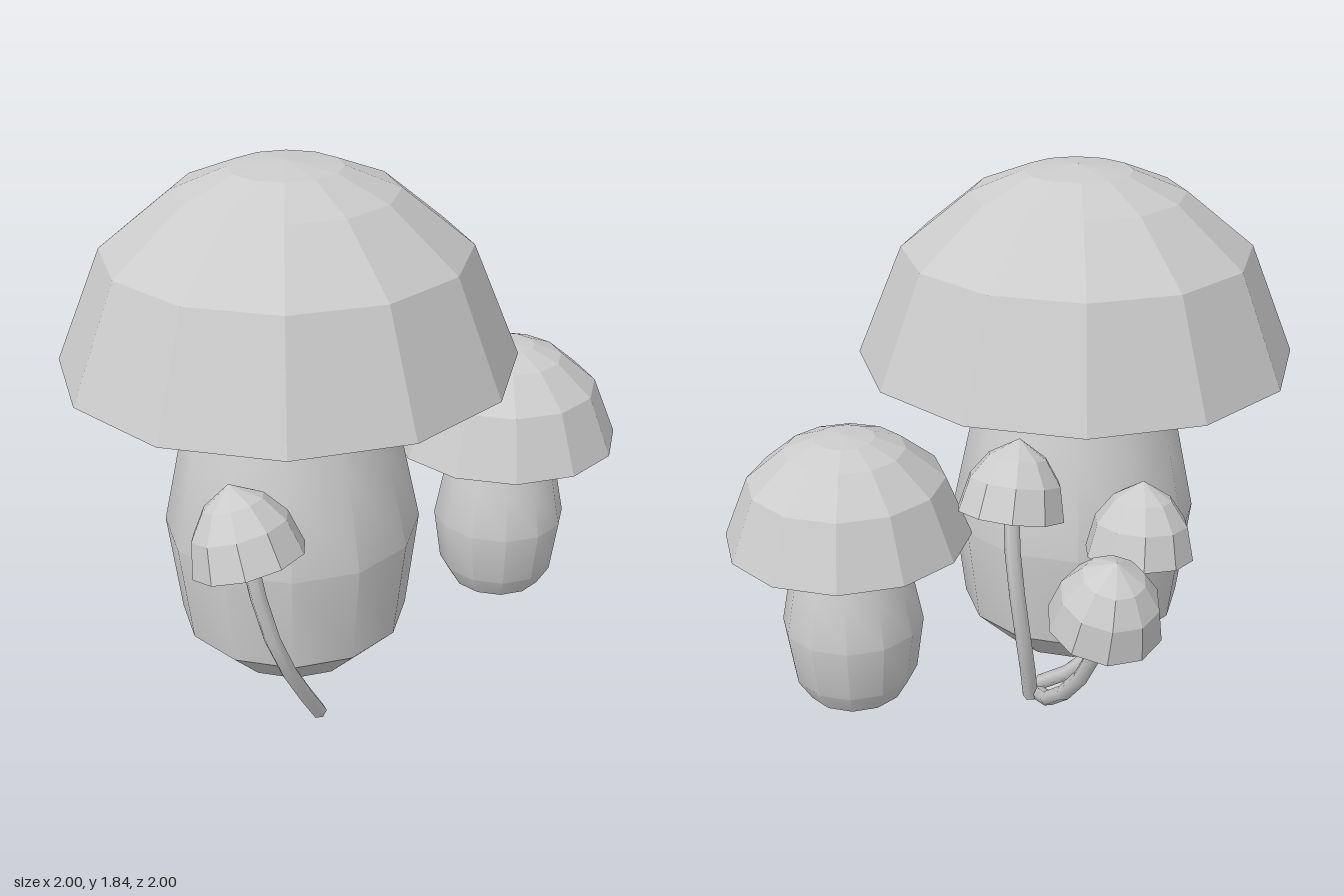
import * as THREE from 'three';
import { toCreasedNormals } from 'three/addons/utils/BufferGeometryUtils.js';

const smooth = new THREE.MeshStandardMaterial({ color: 0xcccccc });
const flat = new THREE.MeshStandardMaterial({ color: 0xcccccc, flatShading: true });

function lathe(profile, sides) {
  return new THREE.LatheGeometry(profile.map(([r, y]) => new THREE.Vector2(r, y)), sides);
}

function add(parent, name, geometry, material) {
  const mesh = new THREE.Mesh(geometry, material);
  mesh.name = name;
  parent.add(mesh);
  return mesh;
}

// Stout mushroom: barrel stem with bevelled foot, faceted dome cap
function stoutMushroom(name, x, z, stem, cap) {
  const group = new THREE.Group();
  group.name = name;
  add(group, 'stem', toCreasedNormals(lathe(stem, 12), 0.58), smooth);
  add(group, 'cap', lathe(cap, 12), flat);
  group.position.set(x, 0, z);
  return group;
}

// Hollow pointed cap: inner shell, rim, then outer dome
const slimCapProfile = [
  [0, 0.21], [0.085, 0.165], [0.14, 0.1], [0.168, 0.004],
  [0.185, 0], [0.158, 0.115], [0.1, 0.195], [0, 0.255],
];

// Slender mushroom: bent stem from the ground, cap tilted towards its tip
function slimMushroom(name, path, tip) {
  const group = new THREE.Group();
  group.name = name;
  const points = path.map((p) => new THREE.Vector3(...p));
  const base = points[points.length - 1].clone();
  const axis = new THREE.Vector3(...tip).sub(base).normalize();
  points.push(base.clone().addScaledVector(axis, 0.19));
  const curve = new THREE.CatmullRomCurve3(points);
  add(group, 'stem', new THREE.TubeGeometry(curve, 6, 0.027, 6), smooth);

  const foot = add(group, 'stemFoot', new THREE.CircleGeometry(0.027, 6), smooth);
  foot.position.copy(points[0]);
  foot.quaternion.setFromUnitVectors(new THREE.Vector3(0, 0, 1), curve.getTangent(0).negate());

  const cap = add(group, 'cap', lathe(slimCapProfile, 10), flat);
  cap.position.copy(base);
  cap.quaternion.setFromUnitVectors(new THREE.Vector3(0, 1, 0), axis);
  return group;
}

export function createModel() {
  const model = new THREE.Group();
  model.name = 'mushroomCluster';

  model.add(stoutMushroom('largeMushroom', -0.225, 0.165,
    [[0, 0.02], [0.26, 0.02], [0.405, 0.165], [0.45, 0.53], [0.38, 0.86], [0.29, 1.1]],
    [[0, 1.08], [0.56, 1.08], [0.775, 1.15], [0.615, 1.54], [0.375, 1.735], [0.19, 1.81], [0, 1.83]]));

  model.add(stoutMushroom('mediumMushroom', 0.57, -0.265,
    [[0, 0.02], [0.175, 0.02], [0.222, 0.1], [0.25, 0.3], [0.215, 0.48], [0.17, 0.62]],
    [[0, 0.6], [0.325, 0.6], [0.427, 0.64], [0.34, 0.855], [0.208, 0.965], [0.105, 1.005], [0, 1.015]]));

  // Slim mushrooms: one in front, three behind
  model.add(slimMushroom('frontSlimMushroom',
    [[-0.14, 0.015, 0.61], [-0.19, 0.16, 0.7], [-0.27, 0.39, 0.8], [-0.325, 0.6, 0.815], [-0.35, 0.745, 0.815]],
    [-0.41, 0.99, 0.77]));
  model.add(slimMushroom('leaningSlimMushroom',
    [[-0.09, 0.015, -0.32], [-0.12, 0.1, -0.48], [-0.2, 0.28, -0.66], [-0.265, 0.5, -0.78], [-0.28, 0.62, -0.825]],
    [-0.31, 0.885, -0.89]));
  model.add(slimMushroom('tallSlimMushroom',
    [[-0.06, 0.015, -0.33], [-0.045, 0.2, -0.4], [-0.01, 0.5, -0.44], [0.01, 0.79, -0.41]],
    [-0.02, 1.035, -0.345]));
  model.add(slimMushroom('backSlimMushroom',
    [[-0.1, 0.015, -0.25], [-0.2, 0.12, -0.34], [-0.36, 0.35, -0.42], [-0.42, 0.65, -0.43]],
    [-0.43, 0.895, -0.4]));

  return model;
}
